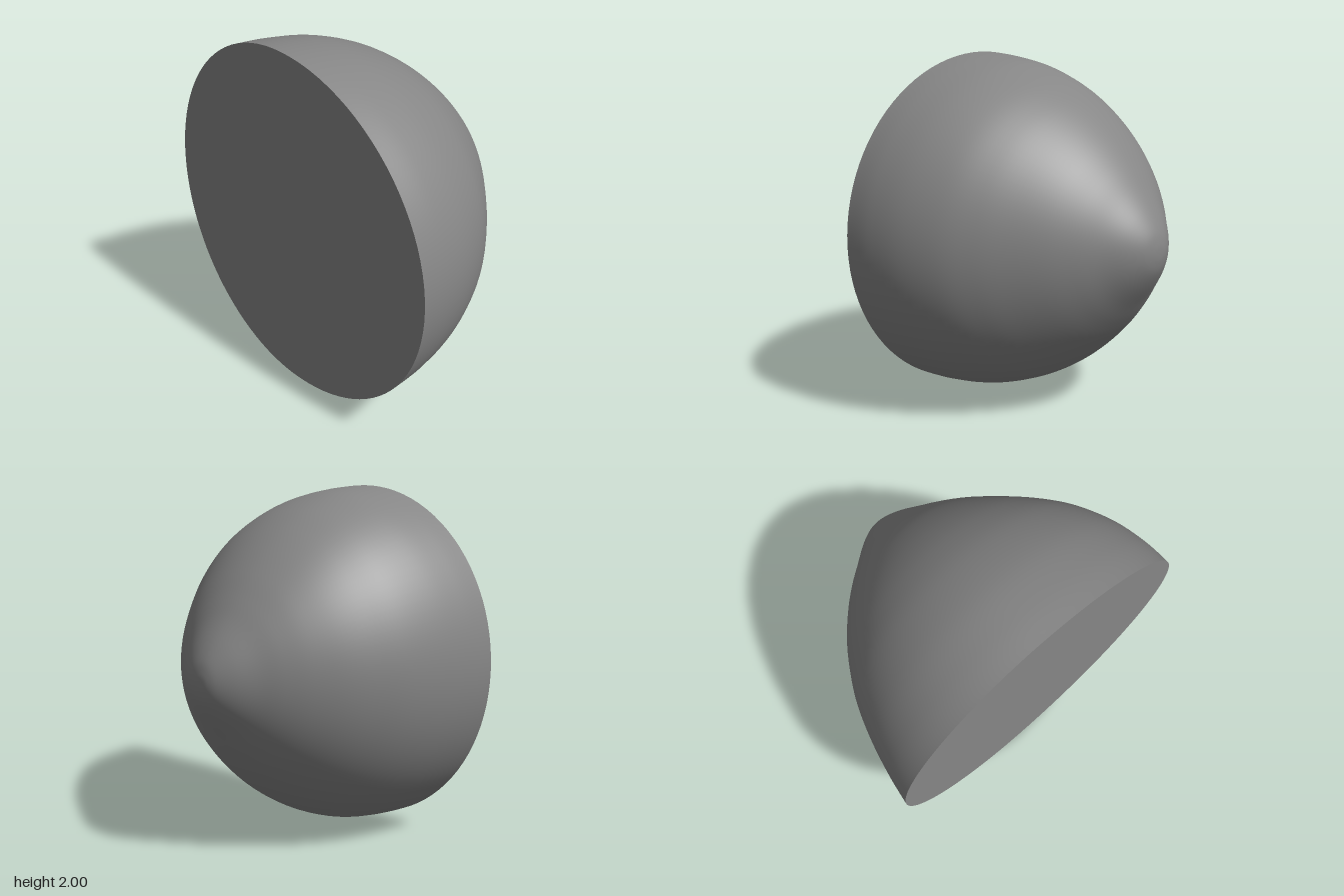
import * as THREE from 'three';

const SIDES = 96, RINGS = 72, CENTRE_Z = -0.06;

// Stations along the axis: x, half height, front depth, back depth
const STATIONS = [
  [-0.665, 1.0, 1.02, 0.9],
  [-0.5, 0.985, 1.015, 0.875],
  [-0.3, 0.948, 0.975, 0.83],
  [-0.1, 0.873, 0.89, 0.765],
  [0.06, 0.782, 0.778, 0.685],
  [0.2, 0.675, 0.655, 0.595],
  [0.33, 0.55, 0.53, 0.485],
  [0.43, 0.43, 0.415, 0.38],
  [0.51, 0.32, 0.31, 0.28],
  [0.59, 0.207, 0.205, 0.18],
  [0.64, 0.118, 0.118, 0.1],
  [0.66, 0.05, 0.05, 0.045],
  [0.664, 0, 0, 0],
];
const heights = new THREE.SplineCurve(STATIONS.map(s => new THREE.Vector2(s[0], s[1])));
const depths = new THREE.SplineCurve(STATIONS.map(s => new THREE.Vector2(s[2], s[3])));

// One cross-section: two half ellipses, deeper at the front than at the back
function ring(t) {
  const { x, y: h } = heights.getPoint(t);
  const { x: front, y: back } = depths.getPoint(t);
  const points = [];
  for (let j = 0; j < SIDES; j++) {
    const a = (j / SIDES) * Math.PI * 2, s = Math.sin(a);
    points.push(x, 1 + h * Math.cos(a), CENTRE_Z + s * (s > 0 ? front : back));
  }
  return points;
}

function makeGeometry(positions, index) {
  const geometry = new THREE.BufferGeometry();
  geometry.setAttribute('position', new THREE.Float32BufferAttribute(positions, 3));
  geometry.setIndex(index);
  geometry.computeVertexNormals();
  return geometry;
}

// Smooth dome that closes in a small rounded tip
function domeGeometry() {
  const positions = [], index = [];
  for (let i = 0; i < RINGS; i++) positions.push(...ring(i / RINGS));
  const tip = RINGS * SIDES;
  positions.push(STATIONS.at(-1)[0], 1, CENTRE_Z);
  for (let i = 0; i < RINGS; i++) {
    for (let j = 0; j < SIDES; j++) {
      const k = (j + 1) % SIDES;
      const a = i * SIDES + j, b = i * SIDES + k;
      if (i === RINGS - 1) index.push(a, b, tip);
      else index.push(a, b, a + SIDES, b, b + SIDES, a + SIDES);
    }
  }
  return makeGeometry(positions, index);
}

// Flat disc that closes the open end
function baseGeometry() {
  const positions = [...ring(0), STATIONS[0][0], 1, CENTRE_Z], index = [];
  for (let j = 0; j < SIDES; j++) index.push(SIDES, (j + 1) % SIDES, j);
  return makeGeometry(positions, index);
}

export function createModel() {
  const group = new THREE.Group();
  const material = new THREE.MeshStandardMaterial({ color: 0x868686 });
  const dome = new THREE.Mesh(domeGeometry(), material);
  dome.name = 'dome';
  const base = new THREE.Mesh(baseGeometry(), material);
  base.name = 'flatBase';
  group.add(dome, base);
  return group;
}
